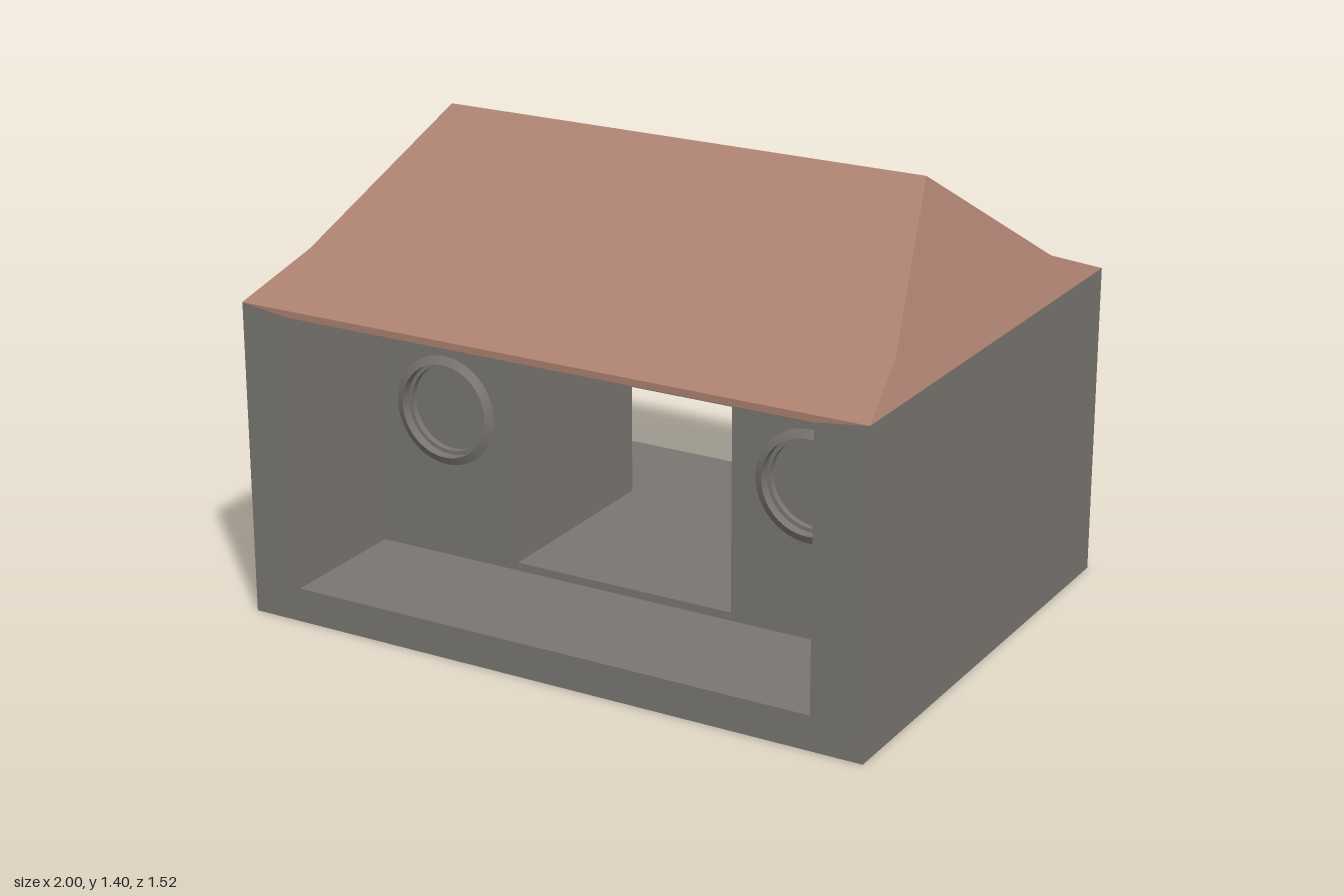
import * as THREE from 'three';
import { toCreasedNormals } from 'three/addons/utils/BufferGeometryUtils.js';

const stone = new THREE.MeshStandardMaterial({ color: 0x7a7772 });
stone.name = 'greyStone';
const tile = new THREE.MeshStandardMaterial({ color: 0xac8070 });
tile.name = 'terracottaRoof';

const DEPTH = 0.76;  // half depth of the building
const WALL = 0.33;   // half depth of the recessed core wall
const NICHE = { x: 0.84, y0: 0.105, y1: 0.94 };

function rectangle(target, x, y0, y1) {
  target.moveTo(-x, y0).lineTo(x, y0).lineTo(x, y1).lineTo(-x, y1).closePath();
  return target;
}

function extrude(shape, depth) {
  return new THREE.ExtrudeGeometry(shape, { depth, bevelEnabled: false, curveSegments: 40 })
    .translate(0, 0, -depth / 2);
}

function add(parent, name, geometry, material) {
  const mesh = new THREE.Mesh(geometry, material);
  mesh.name = name;
  parent.add(mesh);
  return mesh;
}

// Hipped roof: rectangular rings joined by quads, narrowing to the ridge
function roofGeometry() {
  const rings = [[1, 0.96, DEPTH], [0.945, 1.06, 0.505], [0.78, 1.4, 0]];
  const signs = [[-1, 1], [1, 1], [1, -1], [-1, -1]];
  const corner = ([x, y, z], i) => [signs[i % 4][0] * x, y, signs[i % 4][1] * z];
  const pos = [];
  for (let r = 0; r < 2; r++) {
    for (let i = 0; i < 4; i++) {
      const a = corner(rings[r], i), b = corner(rings[r], i + 1);
      const c = corner(rings[r + 1], i + 1), d = corner(rings[r + 1], i);
      pos.push(...a, ...b, ...c);
      if (r === 0 || i % 2 === 0) pos.push(...a, ...c, ...d);
    }
  }
  const g = new THREE.BufferGeometry();
  g.setAttribute('position', new THREE.Float32BufferAttribute(pos, 3));
  g.computeVertexNormals();
  return g;
}

// One face of the building, built towards +z
function createFace(name) {
  const face = new THREE.Group();
  face.name = name;

  // Ceiling wedge sloping down from the rim to the core wall
  const wedge = new THREE.Shape();
  wedge.moveTo(-DEPTH, NICHE.y1).lineTo(-WALL, NICHE.y1).lineTo(-WALL, 0.78).closePath();
  add(face, 'slopedCeiling', extrude(wedge, NICHE.x * 2).rotateY(Math.PI / 2), stone);

  // Thin roof-coloured strip under the eave
  const strip = new THREE.Shape();
  strip.moveTo(-0.84, 0.94).lineTo(0.84, 0.94).lineTo(1, 0.96).lineTo(-1, 0.96).closePath();
  add(face, 'eaveStrip', extrude(strip, 0.004).translate(0, 0, DEPTH), tile);

  // Round recessed windows with a raised rim
  const profile = [[0.17, 0], [0.145, 0.012], [0.145, -0.02], [0.133, -0.02], [0.133, -0.04], [0, -0.04]]
    .map(([x, y]) => new THREE.Vector2(x, y));
  const ring = toCreasedNormals(new THREE.LatheGeometry(profile, 48).rotateX(Math.PI / 2), 0.4);
  for (const side of [-1, 1]) {
    add(face, side > 0 ? 'leftRoundWindow' : 'rightRoundWindow', ring, stone)
      .position.set(side * 0.605, 0.565, WALL);
  }
  return face;
}

export function createModel() {
  const model = new THREE.Group();
  model.name = 'building';

  // Outer shell with a niche opening through front and back
  const shell = rectangle(new THREE.Shape(), 1, 0, 0.96);
  shell.holes.push(rectangle(new THREE.Path(), NICHE.x, NICHE.y0, NICHE.y1));
  add(model, 'outerShell', extrude(shell, DEPTH * 2), stone);

  // Core wall with the central passage and round window openings
  const core = rectangle(new THREE.Shape(), NICHE.x, NICHE.y0, NICHE.y1);
  core.holes.push(rectangle(new THREE.Path(), 0.36, 0.13, 0.755));
  for (const side of [-1, 1]) {
    core.holes.push(new THREE.Path().absarc(side * 0.605, 0.565, 0.16, 0, Math.PI * 2));
  }
  add(model, 'coreWall', extrude(core, WALL * 2), stone);

  // Matching front and back faces
  const front = createFace('frontFace');
  const back = createFace('backFace');
  back.rotation.y = Math.PI;
  model.add(front, back);

  add(model, 'hippedRoof', roofGeometry(), tile);
  return model;
}
